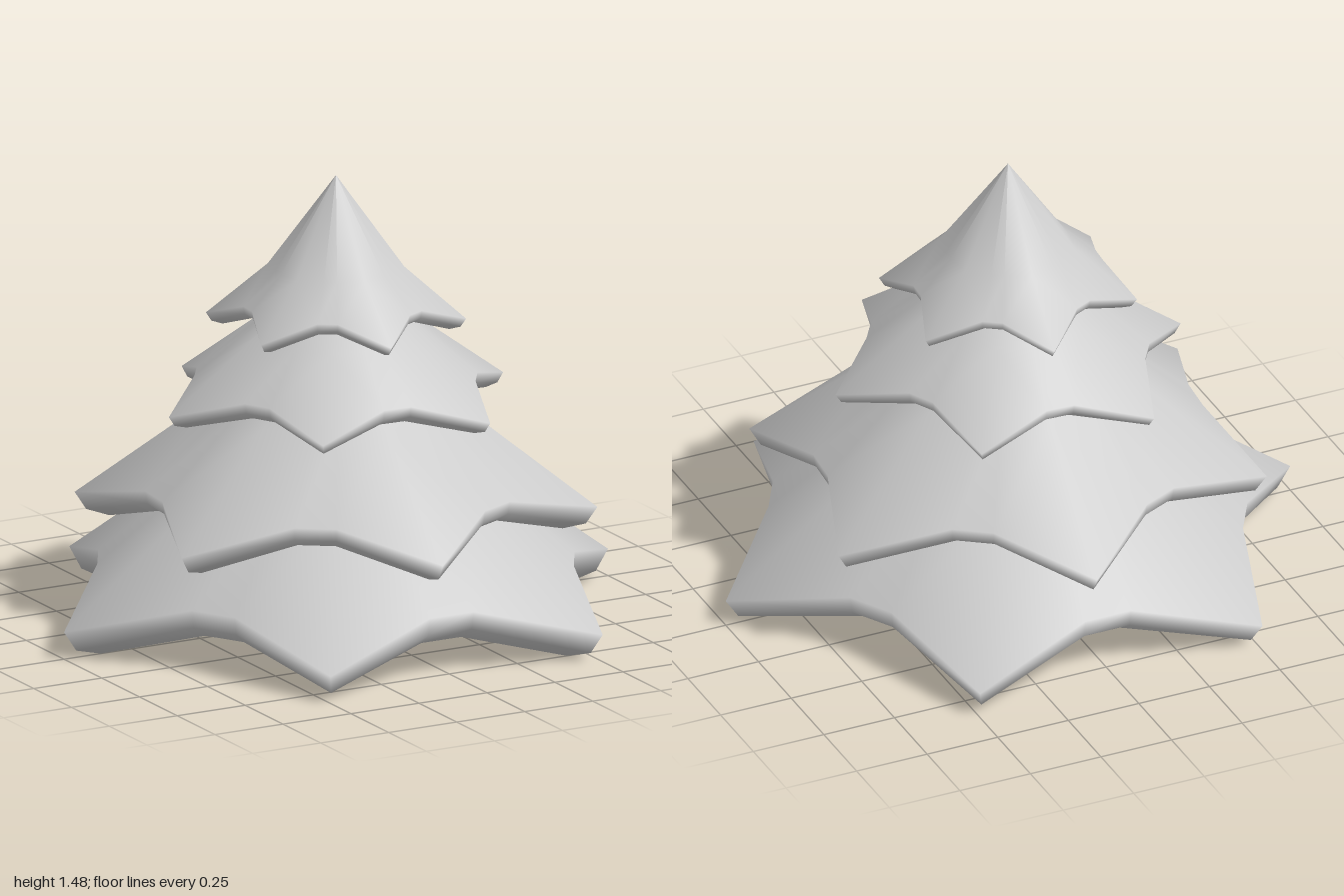
import * as THREE from 'three';

const ARMS = 6;
const SIDES = ARMS * 3; // every arm has a point and two notch corners
const NOTCH = THREE.MathUtils.degToRad(6); // half width of the blunt notch between points

// One six-pointed skirt of branches: a thin open sheet whose rim curls under.
function createTier(t, material) {
  // each ring: radius and height at the points, then at the notches
  const rings = [
    [t.topR, t.topY, t.topR * 0.92, t.topY],
    [t.midR, t.midY, t.midR * 0.93, t.midY],
    [t.tipR, t.tipY, t.valR, t.valY],
    [t.tipR - t.drop * 0.5, t.tipY - t.drop * 0.75, t.valR - t.lip * 0.1, t.valY - t.lip * 0.6],
    [t.tipR - t.drop * 1.5, t.tipY - t.drop, t.valR - t.lip * 0.7, t.valY - t.lip],
  ];
  const pos = [];
  for (const [tipR, tipY, valR, valY] of rings) {
    for (let i = 0; i < SIDES; i++) {
      const k = i % 3; // 0 = point, 1 and 2 = either side of the notch
      const a = t.turn + Math.floor(i / 3) * Math.PI / 3
        + (k === 0 ? 0 : Math.PI / 6 + (k === 1 ? -NOTCH : NOTCH));
      const r = k ? valR : tipR;
      pos.push(r * Math.cos(a), k ? valY : tipY, r * Math.sin(a));
    }
  }

  const index = [];
  const id = (ring, i) => ring * SIDES + (i % SIDES);
  for (let r = 0; r < rings.length - 1; r++) {
    for (let i = 0; i < SIDES; i++) {
      const a = id(r, i), b = id(r, i + 1), c = id(r + 1, i), d = id(r + 1, i + 1);
      // mirror the diagonal so both flanks of every point match
      if (i % 3 === 2) index.push(a, b, c, b, d, c);
      else index.push(a, b, d, a, d, c);
    }
  }
  const geometry = new THREE.BufferGeometry();
  geometry.setAttribute('position', new THREE.Float32BufferAttribute(pos, 3));
  geometry.setIndex(index);
  geometry.computeVertexNormals();
  const mesh = new THREE.Mesh(geometry, material);
  mesh.name = t.name;
  return mesh;
}

export function createModel() {
  const tree = new THREE.Group();
  tree.name = 'layeredTree';
  const material = new THREE.MeshStandardMaterial({ color: 0xcccccc, side: THREE.DoubleSide });
  const deg = THREE.MathUtils.degToRad;

  // four tiers from the ground up, each turned against its neighbour; only the top one closes to a peak
  const tiers = [
    { name: 'bottomBranches', turn: 0, tipR: 1.0, tipY: 0.095, valR: 0.77, valY: 0.205,
      midR: 0.5, midY: 0.47, topR: 0.34, topY: 0.57, drop: 0.09, lip: 0.1 },
    { name: 'lowerBranches', turn: deg(35), tipR: 0.845, tipY: 0.4, valR: 0.645, valY: 0.485,
      midR: 0.4, midY: 0.73, topR: 0.27, topY: 0.85, drop: 0.075, lip: 0.07 },
    { name: 'upperBranches', turn: deg(3), tipR: 0.598, tipY: 0.75, valR: 0.455, valY: 0.82,
      midR: 0.3, midY: 0.97, topR: 0.17, topY: 1.08, drop: 0.042, lip: 0.057 },
    { name: 'topBranches', turn: deg(34), tipR: 0.42, tipY: 1.015, valR: 0.315, valY: 1.075,
      midR: 0.22, midY: 1.185, topR: 0, topY: 1.485, drop: 0.036, lip: 0.042 },
  ];
  for (const tier of tiers) tree.add(createTier(tier, material));
  return tree;
}
